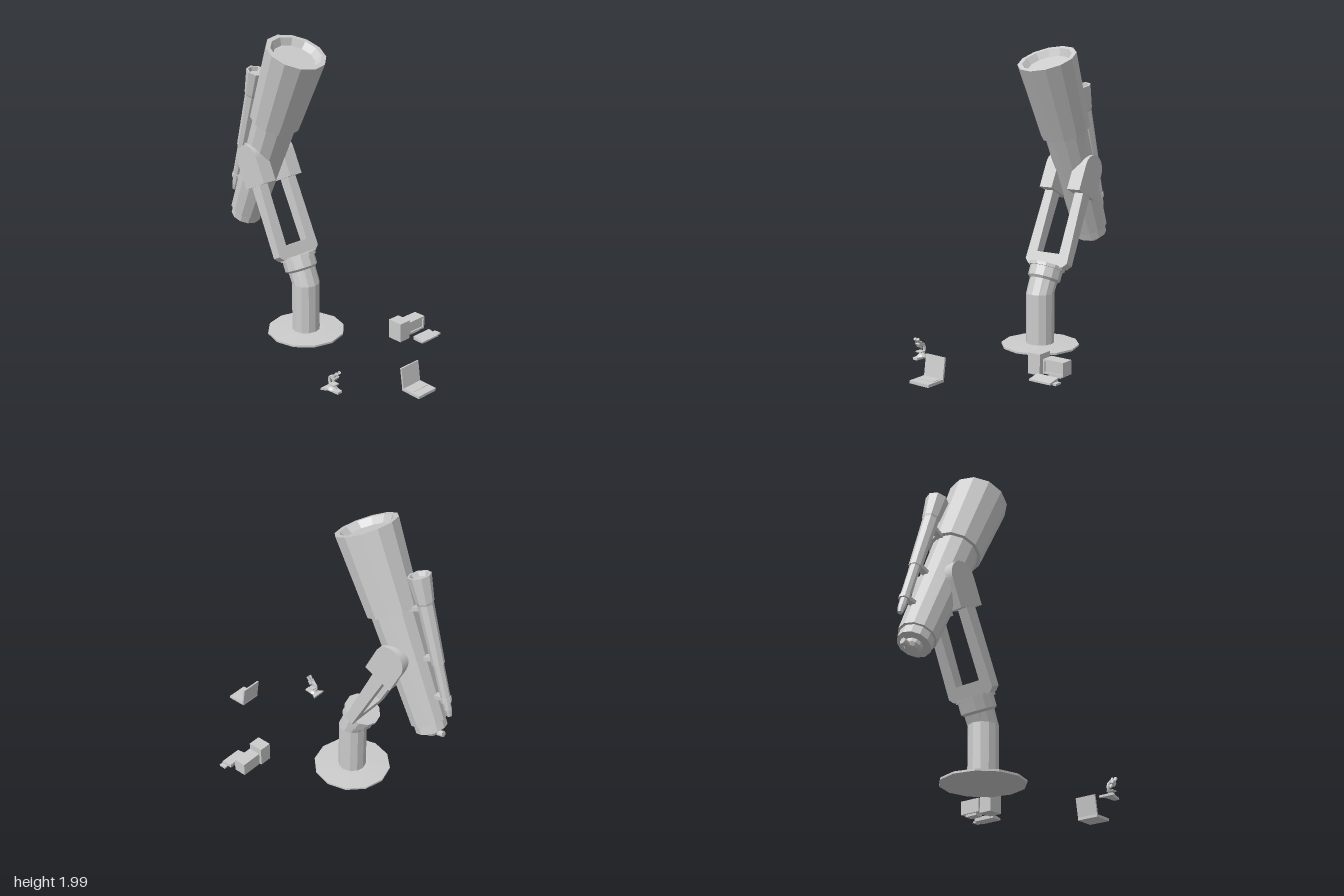
import * as THREE from 'three';

const grey = new THREE.MeshStandardMaterial({ color: 0xcccccc, flatShading: true });
const deg = THREE.MathUtils.degToRad;

function add(parent, name, geometry, x = 0, y = 0, z = 0) {
  const mesh = new THREE.Mesh(geometry, grey);
  mesh.name = name;
  mesh.position.set(x, y, z);
  parent.add(mesh);
  return mesh;
}

function addGroup(parent, name, x, y, z, tilt = 0) {
  const group = new THREE.Group();
  group.name = name;
  group.position.set(x, y, z);
  group.rotation.z = deg(tilt);
  parent.add(group);
  return group;
}

const lathe = (points, sides) =>
  new THREE.LatheGeometry(points.map(([r, y]) => new THREE.Vector2(r, y)), sides);

const box = (w, h, d) => new THREE.BoxGeometry(w, h, d);

const extrude = (shape, depth) =>
  new THREE.ExtrudeGeometry(shape, { depth, bevelEnabled: false, curveSegments: 10 });

const outline = (points) => new THREE.Shape(points.map(([x, y]) => new THREE.Vector2(x, y)));

// Flat bar between two points in the xy plane
function bar(parent, name, [x1, y1], [x2, y2], thick, depth, z) {
  const mesh = add(parent, name, box(Math.hypot(x2 - x1, y2 - y1), thick, depth),
    (x1 + x2) / 2, (y1 + y2) / 2, z);
  mesh.rotation.z = Math.atan2(y2 - y1, x2 - x1);
}

function buildPedestal(parent) {
  const pedestal = addGroup(parent, 'pedestal', -0.195, 0, 0.06);
  add(pedestal, 'basePlate', lathe([[0, 0], [0.263, 0], [0.263, 0.013], [0.12, 0.02], [0, 0.02]], 12));

  // Column whose top ring is swung over to form the elbow
  const column = new THREE.CylinderGeometry(0.095, 0.095, 0.7, 12, 2);
  column.translate(0, 0.36, 0);
  const p = column.attributes.position;
  const lean = deg(25);
  for (let i = 0; i < p.count; i++) {
    const x = p.getX(i);
    if (p.getY(i) > 0.5) {
      p.setX(i, x * Math.cos(lean) - 0.15 * Math.sin(lean));
      p.setY(i, 0.36 + x * Math.sin(lean) + 0.15 * Math.cos(lean));
    }
  }
  add(pedestal, 'column', column);

  const collar = addGroup(pedestal, 'collar', 0, 0.36, 0, 25);
  add(collar, 'collarRing', lathe([[0, 0.085], [0.095, 0.085], [0.112, 0.1], [0.112, 0.168],
    [0.124, 0.168], [0.124, 0.19], [0, 0.19]], 12));
}

function buildFork(parent) {
  const fork = addGroup(parent, 'fork', -0.278, 0.528, 0.06, 26);

  // U-shaped yoke, its arms deepening toward the top
  const half = [[0.14, -0.005], [0.17, 0.025], [0.155, 0.6], [0.09, 0.6], [0.09, 0.085]];
  const yoke = extrude(outline([...half, ...half.map(([x, y]) => [-x, y]).reverse()]), 0.066);
  yoke.translate(0, 0, -0.033).rotateY(Math.PI / 2);
  const p = yoke.attributes.position;
  for (let i = 0; i < p.count; i++) p.setX(i, p.getX(i) * (1 + 0.6 * p.getY(i)));
  add(fork, 'yoke', yoke);

  // Pivot heads, square below and round above
  const head = new THREE.Shape();
  head.moveTo(-0.105, 0.52);
  head.lineTo(0.105, 0.52);
  head.lineTo(0.105, 0.7);
  head.absarc(0, 0.7, 0.105, 0, Math.PI, false);
  head.closePath();
  add(fork, 'leftPivotHead', extrude(head, 0.1), 0, 0, 0.064);
  add(fork, 'rightPivotHead', extrude(head, 0.1), 0, 0, -0.164);
}

function buildTelescope(parent) {
  // Main tube with hood, recessed lens and stepped rear cell
  const tube = addGroup(parent, 'mainTube', -0.794, 0.733, 0.06, -24.15);
  add(tube, 'tubeBody', lathe([[0, -0.105], [0.04, -0.105], [0.055, -0.085], [0.055, -0.06],
    [0.105, -0.06], [0.105, 0], [0.12, 0], [0.148, 0.76], [0.17, 0.76], [0.2, 1.293],
    [0.168, 1.293], [0.138, 1.25], [0, 1.25]], 12));
  const eyepiece = add(parent, 'eyepiece', new THREE.CylinderGeometry(0.02, 0.018, 0.09, 8), -0.868, 0.66, 0.06);
  eyepiece.rotation.z = deg(78);

  // Finder scope
  const finder = addGroup(parent, 'finderScope', -0.942, 0.834, 0.06, -17.7);
  add(finder, 'finderBody', lathe([[0, 0], [0.016, 0], [0.024, 0.045], [0.024, 0.1], [0.036, 0.1],
    [0.036, 0.13], [0.031, 0.13], [0.034, 0.36], [0.041, 0.36], [0.051, 0.755], [0.056, 0.77],
    [0.073, 0.937], [0.06, 0.937], [0.05, 0.91], [0, 0.91]], 8));

  const mounts = [[[-0.72, 1.525], [-0.6, 1.475]], [[-0.82, 1.205], [-0.7, 1.165]], [[-0.9, 0.945], [-0.78, 0.93]]];
  mounts.forEach(([a, b], i) => bar(parent, 'finderBracket' + (i + 1), a, b, 0.025, 0.04, 0.06));
}

function buildComputer(parent) {
  const computer = addGroup(parent, 'desktopComputer', 0, 0, 0);
  add(computer, 'tower', box(0.106, 0.132, 0.088), 0.326, 0.072, -0.311);
  add(computer, 'monitorFoot', box(0.06, 0.02, 0.09), 0.32, 0.015, -0.445);
  add(computer, 'monitorCase', box(0.078, 0.09, 0.148), 0.316, 0.066, -0.444);
  // Raised screen surround
  for (const s of [-1, 1]) {
    add(computer, 'screenFrameSide', box(0.01, 0.09, 0.012), 0.36, 0.066, -0.444 + s * 0.068);
    add(computer, 'screenFrameEdge', box(0.01, 0.012, 0.124), 0.36, 0.066 + s * 0.039, -0.444);
  }
  const keys = outline([[0, 0], [0.082, 0], [0.082, 0.012], [0, 0.026]]);
  add(computer, 'keyboard', extrude(keys, 0.155), 0.412, 0.006, -0.515);
  add(computer, 'mouse', box(0.05, 0.012, 0.026), 0.46, 0.012, -0.537);
}

function buildLaptop(parent) {
  const laptop = addGroup(parent, 'laptop', 0.8, 0.006, 0.106);
  add(laptop, 'laptopBase', box(0.14, 0.018, 0.15), 0.087, 0.009, 0);
  add(laptop, 'laptopKeys', box(0.06, 0.003, 0.125), 0.07, 0.019, 0);
  const screen = add(laptop, 'laptopScreen', box(0.012, 0.145, 0.15), 0.014, 0.075, 0);
  screen.rotation.z = deg(9);
}

function buildMicroscope(parent) {
  const scope = addGroup(parent, 'microscope', 0.53, 0.005, 0.483);
  // Splayed foot
  const foot = extrude(outline([[-0.06, -0.053], [-0.02, -0.026], [0.055, -0.018], [0.055, 0.018],
    [-0.02, 0.026], [-0.06, 0.053]]), 0.014);
  add(scope, 'foot', foot.rotateX(-Math.PI / 2));
  add(scope, 'footRise', new THREE.CylinderGeometry(0.02, 0.035, 0.014, 8), -0.01, 0.02, 0);
  // Curved arm
  const curve = new THREE.CatmullRomCurve3([[-0.02, 0.02], [-0.038, 0.05], [-0.03, 0.085], [0.005, 0.1]]
    .map(([x, y]) => new THREE.Vector3(x, y, 0)));
  add(scope, 'arm', new THREE.TubeGeometry(curve, 8, 0.009, 6));
  add(scope, 'stage', box(0.045, 0.007, 0.045), 0, 0.045, 0);
  // Tilted optical head with twin eyepieces
  const head = addGroup(scope, 'opticalHead', 0.01, 0.095, 0, -35);
  add(head, 'headBlock', box(0.03, 0.032, 0.036));
  add(head, 'objective', new THREE.CylinderGeometry(0.011, 0.006, 0.026, 8), 0, -0.028, 0);
  for (const s of [-1, 1]) {
    add(head, s > 0 ? 'leftEyepiece' : 'rightEyepiece',
      new THREE.CylinderGeometry(0.011, 0.008, 0.035, 8), 0, 0.031, s * 0.012);
  }
}

export function createModel() {
  const model = new THREE.Group();
  model.name = 'observatorySet';
  buildPedestal(model);
  buildFork(model);
  buildTelescope(model);
  buildComputer(model);
  buildLaptop(model);
  buildMicroscope(model);
  return model;
}
